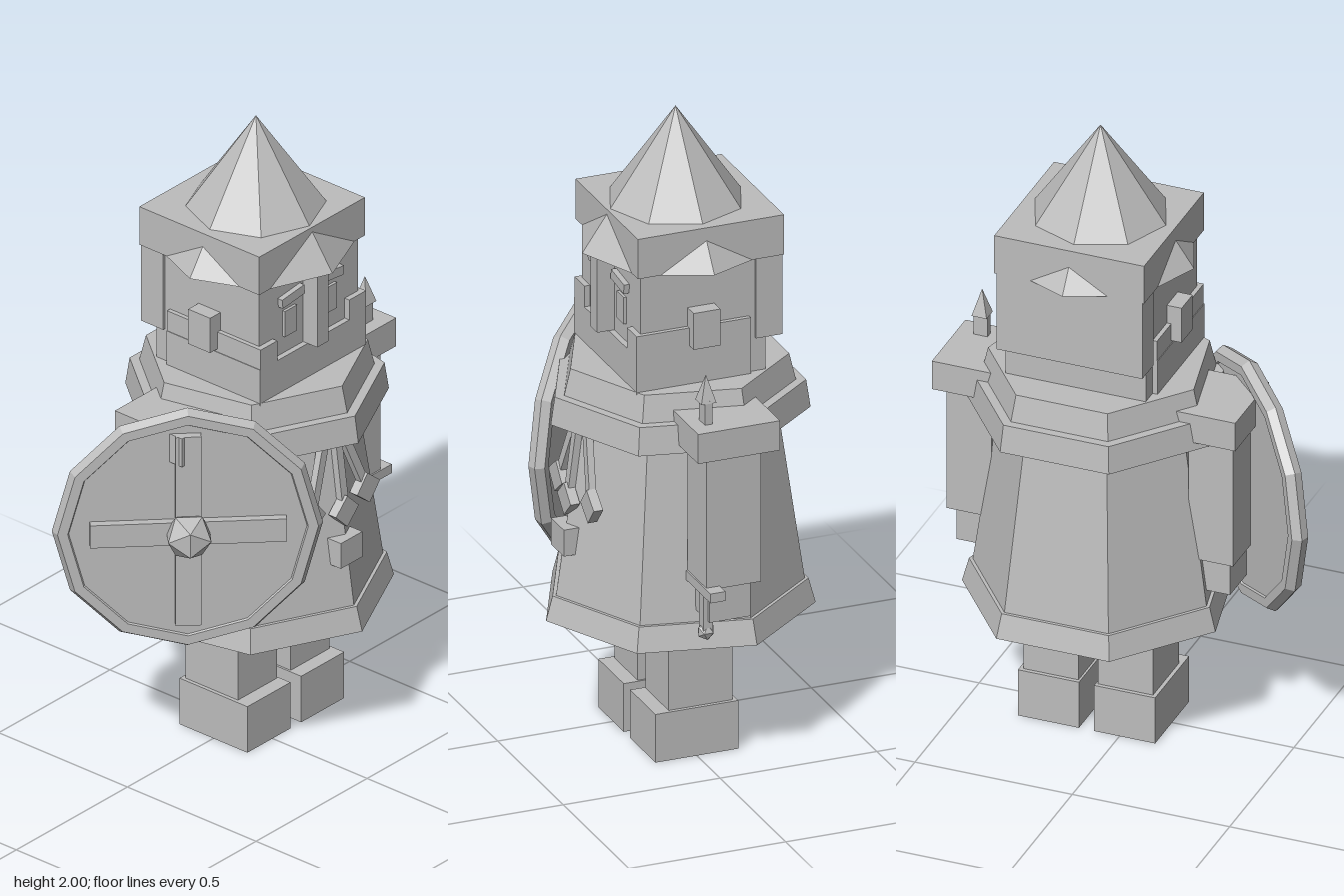
import * as THREE from 'three';

export function createModel() {
  const grey = new THREE.MeshStandardMaterial({ color: 0xbcbcbc });
  grey.name = 'stone grey';
  grey.flatShading = true;

  const model = new THREE.Group();
  model.name = 'guard';
  const CX = 0.105, CZ = -0.023; // axis of the body

  function add(name, geo, x, y, z, parent = model) {
    const m = new THREE.Mesh(geo, grey);
    m.name = name;
    m.position.set(x, y, z);
    parent.add(m);
    return m;
  }
  // Box from its limits on each axis
  function box(name, x0, x1, y0, y1, z0, z1, parent = model) {
    return add(name, new THREE.BoxGeometry(x1 - x0, y1 - y0, z1 - z0),
      (x0 + x1) / 2, (y0 + y1) / 2, (z0 + z1) / 2, parent);
  }
  // Same box on both sides of the body; limits measured outwards from the axis
  function pair(name, a, b, y0, y1, z0, z1) {
    box('left' + name, CX + a, CX + b, y0, y1, z0, z1);
    box('right' + name, CX - b, CX - a, y0, y1, z0, z1);
  }
  function tier(name, rTop, rBottom, y0, y1, sides = 7) {
    return add(name, new THREE.CylinderGeometry(rTop, rBottom, y1 - y0, sides), CX, (y0 + y1) / 2, CZ);
  }

  // Legs and feet
  pair('Leg', 0.031, 0.206, 0.15, 0.45, -0.119, 0.085);
  pair('Foot', 0.024, 0.218, 0, 0.155, -0.132, 0.132);

  // Seven-sided robe, hem and cape
  tier('robe', 0.299, 0.381, 0.487, 1.05);
  tier('hem', 0.392, 0.413, 0.411, 0.488);
  tier('capeBand', 0.385, 0.398, 1.04, 1.127);
  tier('cape', 0.335, 0.355, 1.127, 1.21);

  // Arms
  pair('Shoulder', 0.2, 0.482, 1.065, 1.16, -0.155, 0.106);
  pair('Arm', 0.313, 0.455, 0.64, 1.07, -0.106, 0.069);
  pair('Hand', 0.328, 0.435, 0.525, 0.645, -0.08, 0.05);

  // Head, beard and neck guard
  box('head', -0.118, 0.328, 1.2, 1.58, -0.217, 0.182);
  box('beard', -0.134, 0.342, 1.2, 1.323, -0.164, 0.2);
  pair('Sideburn', 0.162, 0.237, 1.32, 1.39, -0.164, 0.2);
  box('neckGuard', -0.128, 0.336, 1.317, 1.58, -0.268, -0.183);
  pair('Ear', 0.2, 0.27, 1.333, 1.45, -0.053, 0.032);
  pair('Eye', 0.063, 0.117, 1.38, 1.466, 0.175, 0.191);
  box('noseGuard', 0.08, 0.13, 1.323, 1.58, 0.17, 0.237);
  for (const s of [-1, 1]) {
    const brow = add('brow', new THREE.BoxGeometry(0.1, 0.03, 0.025), CX + s * 0.088, 1.507, 0.187);
    brow.rotation.z = -s * 0.11;
  }

  // Helmet: square band pierced by a wide eight-sided cone
  box('helmetBand', -0.134, 0.342, 1.575, 1.703, -0.27, 0.196);
  add('helmetCone', new THREE.ConeGeometry(0.2975, 0.425, 8), CX, 1.7875, CZ);

  // Cords with diamond tassels, and buckle
  for (const s of [-1, 0, 1]) {
    const top = new THREE.Vector3(CX + s * 0.03, 1.05, s ? 0.272 : 0.285);
    const end = new THREE.Vector3(CX + s * 0.122, s ? 0.815 : 0.795, s ? 0.295 : 0.318);
    const dir = end.clone().sub(top);
    const mid = top.clone().add(end).multiplyScalar(0.5);
    const cord = add('cord', new THREE.BoxGeometry(0.028, dir.length(), 0.022), mid.x, mid.y, mid.z);
    cord.quaternion.setFromUnitVectors(new THREE.Vector3(0, -1, 0), dir.normalize());
    const tassel = add('tassel', new THREE.BoxGeometry(0.073, 0.073, 0.03), end.x, end.y, end.z);
    tassel.rotation.z = Math.PI / 4 + s * 0.1;
  }
  box('buckle', 0.053, 0.15, 0.63, 0.715, 0.3, 0.352);

  // Sword held upright in the left hand
  const sword = new THREE.Group();
  sword.name = 'sword';
  sword.position.set(0.511, 0, 0.05);
  model.add(sword);
  box('blade', -0.022, 0.022, 0.64, 1.235, -0.012, 0.012, sword);
  const tip = add('bladeTip', new THREE.ConeGeometry(0.034, 0.085, 4), 0, 1.27, 0, sword);
  tip.rotation.y = Math.PI / 4;
  box('crossguard', -0.093, 0.093, 0.618, 0.648, -0.024, 0.024, sword);
  box('grip', -0.018, 0.018, 0.49, 0.63, -0.015, 0.015, sword);
  add('pommel', new THREE.IcosahedronGeometry(0.028, 0), 0, 0.488, 0, sword);

  // Round shield turned outwards on the right arm
  const shield = new THREE.Group();
  shield.name = 'shield';
  shield.position.set(-0.325, 0.835, 0.082);
  shield.rotation.y = -Math.PI / 4;
  model.add(shield);
  const disc = add('shieldDisc', new THREE.CylinderGeometry(0.375, 0.375, 0.04, 12), 0, 0, 0, shield);
  disc.rotation.x = Math.PI / 2;
  add('shieldRim', new THREE.TorusGeometry(0.37, 0.03, 6, 12), 0, 0, 0, shield);
  box('shieldUpright', -0.038, 0.038, -0.31, 0.325, 0, 0.045, shield);
  box('shieldCrossbar', -0.29, 0.29, -0.038, 0.038, 0, 0.045, shield);
  add('shieldBoss', new THREE.IcosahedronGeometry(0.075, 0), 0, 0, 0.06, shield);

  return model;
}
